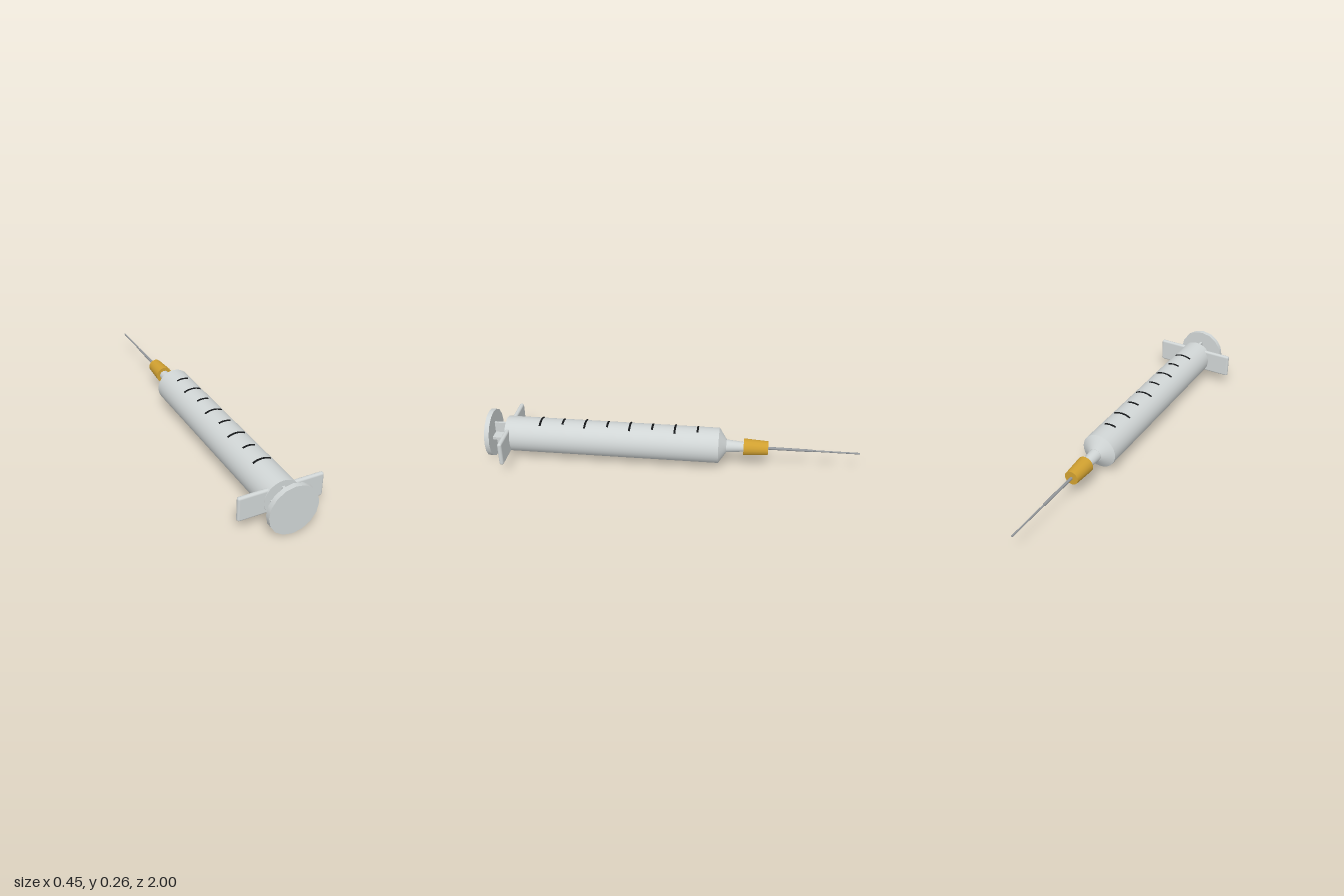
import * as THREE from 'three';
import { RoundedBoxGeometry } from 'three/addons/geometries/RoundedBoxGeometry.js';

const AXIS_Y = 0.13;
const BARREL_R = 0.095;

export function createModel() {
  const material = (name, color) => {
    const m = new THREE.MeshStandardMaterial({ color });
    m.name = name;
    return m;
  };
  const plastic = material('pale grey plastic', 0xd0d5d5);
  const gold = material('gold hub', 0xd0a030);
  const steel = material('needle steel', 0x94989c);
  const ink = material('black ink', 0x141618);

  const group = new THREE.Group();
  group.name = 'syringe';

  const add = (name, geometry, mat, z, y = AXIS_Y) => {
    const mesh = new THREE.Mesh(geometry, mat);
    mesh.name = name;
    mesh.position.set(0, y, z);
    group.add(mesh);
    return mesh;
  };

  // Round section along z, from the front end to the back end
  const round = (name, mat, zFront, zBack, rFront, rBack, sides = 24) => {
    const geometry = new THREE.CylinderGeometry(rFront, rBack, zFront - zBack, sides);
    geometry.rotateX(Math.PI / 2);
    return add(name, geometry, mat, (zFront + zBack) / 2);
  };

  // Barrel, shoulder and nozzle
  round('barrel', plastic, 0.9, -0.255, BARREL_R, BARREL_R, 32);
  round('shoulder', plastic, -0.255, -0.295, BARREL_R, 0.036, 32);
  round('nozzle', plastic, -0.29, -0.4, 0.035, 0.025);

  // Needle hub and stepped needle
  round('needleHub', gold, -0.387, -0.517, 0.046, 0.038, 16);
  round('needleBase', steel, -0.51, -0.75, 0.008, 0.007, 12);
  round('needle', steel, -0.74, -1, 0.0045, 0.0045, 12);

  // Finger flange
  add('fingerFlange', new RoundedBoxGeometry(0.45, 0.13, 0.024, 2, 0.011), plastic, 0.885);

  // Plunger with a cross-shaped rod and a thumb rest
  add('plungerRibUpright', new THREE.BoxGeometry(0.014, 0.13, 0.11), plastic, 0.925);
  add('plungerRibFlat', new THREE.BoxGeometry(0.13, 0.014, 0.11), plastic, 0.925);
  round('thumbRest', plastic, 1, 0.974, 0.13, 0.13, 16);

  // Curved graduation marks, alternately short and long
  for (let i = 0; i < 8; i++) {
    const halfWidth = i % 2 ? 0.047 : 0.032;
    const half = Math.asin(halfWidth / BARREL_R);
    const arc = new THREE.TorusGeometry(BARREL_R - 0.001, 0.006, 6, 12, half * 2);
    arc.rotateZ(Math.PI / 2 - half);
    add('graduationMark', arc, ink, -0.14 + i * 0.1215);
  }

  return group;
}
